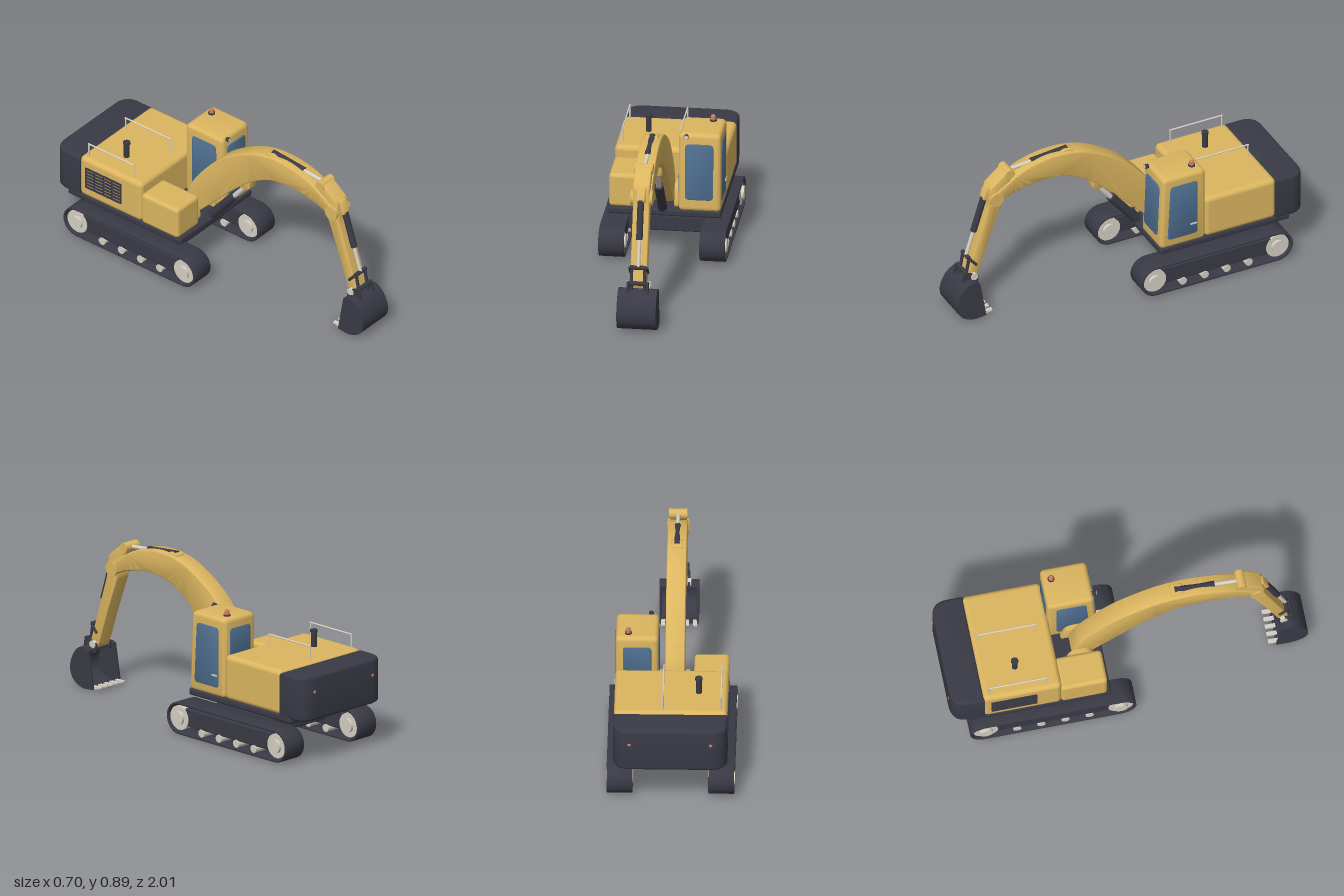
import * as THREE from 'three';
import { toCreasedNormals } from 'three/addons/utils/BufferGeometryUtils.js';
import { RoundedBoxGeometry } from 'three/addons/geometries/RoundedBoxGeometry.js';

const paint = (name, color, extra = {}) => Object.assign(new THREE.MeshStandardMaterial({ color, ...extra }), { name });

export function createModel() {
  const root = new THREE.Group();
  root.name = 'excavator';
  const yellow = paint('yellow paint', 0xdcb660);
  const dark = paint('dark metal', 0x3a3a46);
  const glass = paint('blue glass', 0x4f6f90);
  const cream = paint('pale metal', 0xd6d0c4);
  const amber = paint('amber lamp', 0xcc7a5c);
  const AX = -0.012; // centre line of the digging arm

  const add = (name, geo, mat, x = 0, y = 0, z = 0) => {
    const m = new THREE.Mesh(geo, mat);
    m.name = name;
    m.position.set(x, y, z);
    root.add(m);
    return m;
  };
  // box given by its limits
  const box = (name, mat, [x0, x1], [y0, y1], [z0, z1], r = 0) => {
    const s = [x1 - x0, y1 - y0, z1 - z0];
    const geo = r ? new RoundedBoxGeometry(...s, 4, r) : new THREE.BoxGeometry(...s);
    return add(name, geo, mat, (x0 + x1) / 2, (y0 + y1) / 2, (z0 + z1) / 2);
  };
  // extrusion centred on its depth, outline kept despite the bevel
  const slab = (shape, width, bevel = 0) => {
    const geo = new THREE.ExtrudeGeometry(shape, {
      depth: width - 2 * bevel, curveSegments: 16, steps: 1, bevelEnabled: bevel > 0,
      bevelThickness: bevel, bevelSize: bevel, bevelOffset: -bevel, bevelSegments: 4,
    });
    geo.translate(0, 0, -(width - 2 * bevel) / 2);
    return toCreasedNormals(geo, 0.6);
  };
  // side profile in (z, y), extruded across x
  const side = (name, mat, shape, x, width, bevel = 0) => add(name, slab(shape, width, bevel).rotateY(-Math.PI / 2), mat, x);
  const vec = pts => pts.map(p => new THREE.Vector2(...p));
  // polygon with rounded corners
  const rounded = (pts, r) => {
    const p = vec(pts), s = new THREE.Shape();
    p.forEach((c, i) => {
      const a = p[(i + p.length - 1) % p.length], b = p[(i + 1) % p.length];
      const ra = Math.min(r, c.distanceTo(a) / 2.1), rb = Math.min(r, c.distanceTo(b) / 2.1);
      const u = a.clone().sub(c).setLength(ra).add(c), v = b.clone().sub(c).setLength(rb).add(c);
      if (i) s.lineTo(u.x, u.y); else s.moveTo(u.x, u.y);
      s.quadraticCurveTo(c.x, c.y, v.x, v.y);
    });
    s.closePath();
    return s;
  };
  const rect = (a0, a1, b0, b1, r) => rounded([[a0, b0], [a1, b0], [a1, b1], [a0, b1]], r);
  // cylinder across x
  const pin = (name, mat, x, y, z, r, w) => add(name, new THREE.CylinderGeometry(r, r, w, 28).rotateZ(Math.PI / 2), mat, x, y, z);
  // bar between two [z, y] points at one x
  const bar = (name, mat, x, [z0, y0], [z1, y1], r) => {
    const a = new THREE.Vector3(x, y0, z0), d = new THREE.Vector3(x, y1, z1).sub(a);
    const m = add(name, new THREE.CylinderGeometry(r, r, d.length(), 20), mat);
    m.position.copy(a).addScaledVector(d, 0.5);
    m.quaternion.setFromUnitVectors(new THREE.Vector3(0, 1, 0), d.normalize());
    return m;
  };

  // crawler tracks
  const stadium = (s, r) => {
    s.absarc(-0.08, 0.098, r, -Math.PI / 2, Math.PI / 2, false);
    s.absarc(-0.815, 0.098, r, Math.PI / 2, Math.PI * 1.5, false);
    s.closePath();
    return s;
  };
  for (const k of [-1, 1]) {
    const x = k * 0.275;
    const belt = stadium(new THREE.Shape(), 0.09);
    belt.holes.push(stadium(new THREE.Path(), 0.077));
    side('trackBelt', dark, belt, x, 0.14, 0.004);
    box('trackFrame', dark, [x - 0.055, x + 0.055], [0.06, 0.16], [-0.78, -0.115], 0.008);
    for (const z of [-0.075, -0.817]) {
      pin('trackWheel', cream, x, 0.098, z, 0.068, 0.115);
      pin('wheelHub', cream, x, 0.098, z, 0.038, 0.146);
    }
    for (let i = 0; i < 4; i++) pin('trackRoller', cream, x, 0.045, -0.245 - i * 0.133, 0.022, 0.12);
  }

  // undercarriage and slewing deck
  box('carBody', dark, [-0.21, 0.21], [0.1, 0.192], [-0.66, -0.23], 0.01);
  add('slewRing', new THREE.CylinderGeometry(0.203, 0.203, 0.045, 48), dark, 0, 0.212, -0.445);
  box('deck', dark, [-0.308, 0.308], [0.233, 0.272], [-0.905, -0.12], 0.012);

  // engine house, tool box and counterweight
  box('engineHouse', yellow, [-0.307, 0.307], [0.265, 0.516], [-0.825, -0.392], 0.028);
  box('toolBox', yellow, [-0.306, -0.116], [0.265, 0.456], [-0.397, -0.14], 0.022);
  const weight = new THREE.Shape();
  weight.moveTo(-0.308, 0.818);
  weight.lineTo(0.308, 0.818);
  weight.lineTo(0.308, 0.91);
  weight.quadraticCurveTo(0.308, 1, 0.21, 1);
  weight.lineTo(-0.21, 1);
  weight.quadraticCurveTo(-0.308, 1, -0.308, 0.91);
  weight.closePath();
  add('counterweight', slab(weight, 0.253, 0.018).rotateX(-Math.PI / 2), dark, 0, 0.382, 0);
  for (const x of [-0.22, 0.22]) add('rearLamp', new THREE.SphereGeometry(0.012, 16, 12), amber, x, 0.418, -0.993);

  // side grille
  for (let i = 0; i < 7; i++) box('grilleSlat', dark, [-0.312, -0.304], [0.328 + i * 0.02, 0.34 + i * 0.02], [-0.78, -0.53]);
  for (let i = 0; i < 5; i++) box('grillePost', dark, [-0.312, -0.304], [0.328, 0.46], [-0.78 + i * 0.061, -0.774 + i * 0.061]);

  // exhaust and hand rails
  add('exhaust', new THREE.CylinderGeometry(0.016, 0.016, 0.1, 24), dark, -0.149, 0.555, -0.622);
  add('exhaustCap', new THREE.CylinderGeometry(0.02, 0.02, 0.014, 24), dark, -0.149, 0.605, -0.622);
  for (const x of [-0.272, 0.042]) {
    const z0 = -0.785, z1 = -0.473;
    for (const z of [z0, z1]) bar('railPost', cream, x, [z, 0.51], [z, 0.594], 0.0045);
    bar('railTop', cream, x, [z0 - 0.004, 0.592], [z1 + 0.004, 0.592], 0.0045);
  }

  // cab with windows
  side('cab', yellow, rounded([[-0.397, 0.265], [-0.122, 0.265], [-0.14, 0.712], [-0.397, 0.712]], 0.03), 0.19, 0.23, 0.022);
  const front = add('frontWindow', slab(rect(-0.077, 0.077, -0.16, 0.16, 0.025), 0.009, 0.003), glass, 0.188, 0.495, -0.1295);
  front.rotation.x = -0.04;
  const pane = () => rounded([[-0.347, 0.318], [-0.165, 0.318], [-0.183, 0.656], [-0.347, 0.656]], 0.022);
  for (const x of [0.304, 0.076]) side('sideWindow', glass, pane(), x, 0.009, 0.003);
  add('rearWindow', slab(rect(-0.077, 0.077, -0.1, 0.1, 0.022), 0.009, 0.003), glass, 0.19, 0.555, -0.397);
  box('doorHandle', cream, [0.3, 0.313], [0.381, 0.39], [-0.34, -0.302]);

  // beacon and work lamp
  add('beaconBase', new THREE.CylinderGeometry(0.019, 0.019, 0.01, 24), dark, 0.238, 0.715, -0.345);
  add('beacon', new THREE.CylinderGeometry(0.014, 0.015, 0.02, 24), amber, 0.238, 0.727, -0.345);
  add('beaconDome', new THREE.SphereGeometry(0.014, 20, 12), amber, 0.238, 0.735, -0.345);
  add('workLamp', new THREE.CylinderGeometry(0.014, 0.012, 0.022, 24).rotateX(Math.PI / 2), dark, 0.118, 0.699, -0.132);
  add('lampLens', new THREE.CylinderGeometry(0.012, 0.012, 0.004, 24).rotateX(Math.PI / 2), cream, 0.118, 0.699, -0.12);

  // boom and its foot
  const boom = new THREE.Shape();
  boom.moveTo(-0.29, 0.33);
  boom.splineThru(vec([[-0.245, 0.46], [-0.137, 0.61], [-0.02, 0.727], [0.14, 0.825], [0.265, 0.866], [0.4, 0.874], [0.54, 0.848], [0.64, 0.8], [0.74, 0.735]]));
  boom.lineTo(0.735, 0.665);
  boom.splineThru(vec([[0.64, 0.708], [0.52, 0.735], [0.42, 0.74], [0.3, 0.72], [0.168, 0.647], [0.035, 0.53], [-0.126, 0.364], [-0.2, 0.29]]));
  boom.closePath();
  side('boom', yellow, boom, AX, 0.106, 0.008);
  for (const k of [-1, 1]) {
    side('boomBracket', yellow, rounded([[-0.34, 0.255], [-0.16, 0.255], [-0.19, 0.4], [-0.3, 0.4]], 0.05), AX + k * 0.071, 0.024, 0.004);
    pin('boomFootCap', yellow, AX + k * 0.08, 0.345, -0.245, 0.03, 0.016);
  }
  side('boomLug', yellow, rounded([[0.06, 0.62], [0.06, 0.575], [0.105, 0.56], [0.145, 0.575], [0.145, 0.66]], 0.015), AX, 0.06, 0.003);
  side('stickCylinderLug', yellow, rounded([[0.262, 0.84], [0.262, 0.877], [0.31, 0.882], [0.35, 0.87], [0.35, 0.84]], 0.01), AX, 0.065, 0.003);

  // hydraulic rams
  const ram = (name, a, b, split, r) => {
    const mid = [a[0] + (b[0] - a[0]) * split, a[1] + (b[1] - a[1]) * split];
    bar(name + 'Body', dark, AX, a, mid, r);
    bar(name + 'Rod', cream, AX, mid, b, r * 0.58);
  };
  ram('boomCylinder', [-0.14, 0.275], [0.108, 0.575], 0.65, 0.025);
  ram('stickCylinder', [0.285, 0.87], [0.65, 0.836], 0.6, 0.019);
  ram('bucketCylinder', [0.787, 0.705], [0.897, 0.352], 0.58, 0.018);

  // stick with horn and pivots
  side('stick', yellow, rounded([[0.622, 0.822], [0.655, 0.864], [0.768, 0.772], [0.782, 0.65], [0.905, 0.26],
    [0.885, 0.215], [0.85, 0.235], [0.785, 0.43], [0.7, 0.66], [0.705, 0.735]], 0.018), AX, 0.09, 0.006);
  pin('stickPivot', yellow, AX, 0.7, 0.735, 0.041, 0.118);
  pin('hornPin', yellow, AX, 0.836, 0.65, 0.027, 0.1);
  side('bucketCylinderLug', yellow, rounded([[0.74, 0.775], [0.775, 0.775], [0.805, 0.7], [0.76, 0.68]], 0.012), AX, 0.046, 0.003);

  // bucket linkage
  pin('linkPin', dark, AX, 0.355, 0.895, 0.012, 0.088);
  pin('lowerLinkPin', dark, AX, 0.272, 0.918, 0.012, 0.118);
  for (const k of [-1, 1]) {
    bar('bucketLink', dark, AX + k * 0.036, [0.895, 0.358], [0.918, 0.23], 0.009);
    bar('stickLink', dark, AX + k * 0.047, [0.895, 0.355], [0.855, 0.31], 0.008);
    side('bucketEar', dark, rounded([[0.85, 0.2], [0.85, 0.255], [0.895, 0.268], [0.935, 0.285], [0.95, 0.19]], 0.015), AX + k * 0.053, 0.012);
  }
  pin('bucketPin', cream, AX, 0.245, 0.875, 0.021, 0.13);

  // bucket: curved shell, two cheeks and teeth
  const rim = new THREE.SplineCurve(vec([[0.862, 0.222], [0.91, 0.236], [0.955, 0.21], [0.985, 0.165], [1, 0.115],
    [0.993, 0.065], [0.96, 0.025], [0.9, 0.003], [0.825, 0.008]])).getPoints(32);
  const inner = rim.map(p => new THREE.Vector2(0.86 + (p.x - 0.86) * 0.9, 0.115 + (p.y - 0.115) * 0.9));
  side('bucketShell', dark, new THREE.Shape([...rim, ...inner.reverse()]), AX, 0.214);
  for (const k of [-1, 1]) side('bucketCheek', dark, new THREE.Shape(rim), AX + k * 0.101, 0.012);
  for (let i = 0; i < 5; i++) {
    side('bucketTooth', cream, new THREE.Shape(vec([[0.84, 0.006], [0.84, 0.026], [0.783, 0.027], [0.783, 0.019]])), AX + (i - 2) * 0.043, 0.022);
  }
  return root;
}
